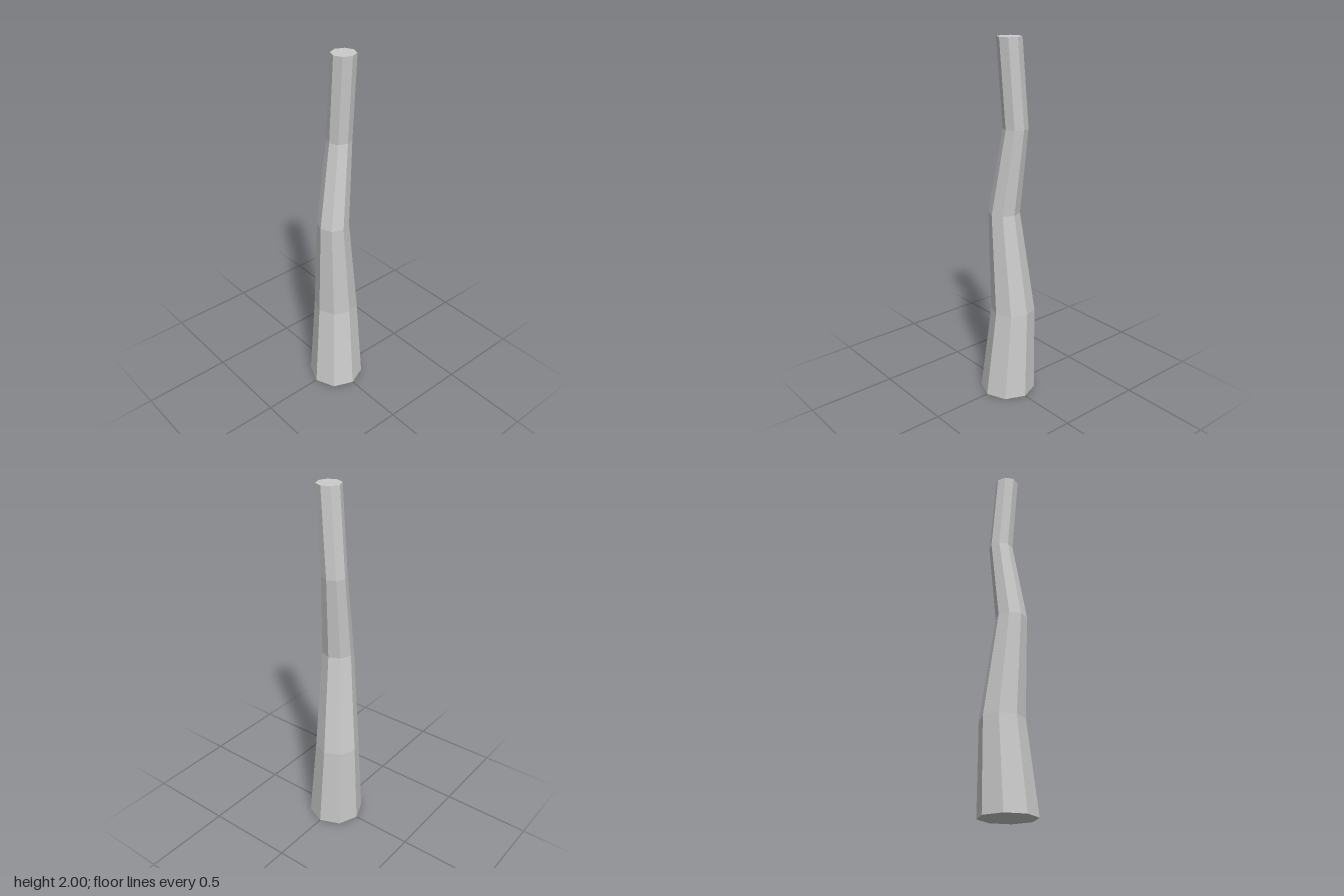
import * as THREE from 'three';

// Rings of the bent trunk from bottom to top: x, y, z of the centre and radius
const RINGS = [
  [0, 0, 0, 0.155],
  [0.017, 0.5, -0.023, 0.122],
  [-0.025, 1.07, 0.005, 0.086],
  [0.039, 1.535, -0.02, 0.067],
  [0.0325, 2, 0.0175, 0.0655],
];

export function createModel() {
  const group = new THREE.Group();
  group.name = 'bentTrunk';

  // Unit eight-sided cylinder whose rows are scaled and shifted onto the rings
  const rows = RINGS.length - 1;
  const geometry = new THREE.CylinderGeometry(1, 1, rows, 8, rows);
  const pos = geometry.attributes.position;
  for (let i = 0; i < pos.count; i++) {
    const [x, y, z, r] = RINGS[Math.round(pos.getY(i) + rows / 2)];
    pos.setXYZ(i, x + pos.getX(i) * r, y, z + pos.getZ(i) * r);
  }
  geometry.computeVertexNormals();

  const trunk = new THREE.Mesh(
    geometry,
    new THREE.MeshStandardMaterial({ color: 0xcccccc, flatShading: true })
  );
  trunk.name = 'trunk';
  group.add(trunk);
  return group;
}
